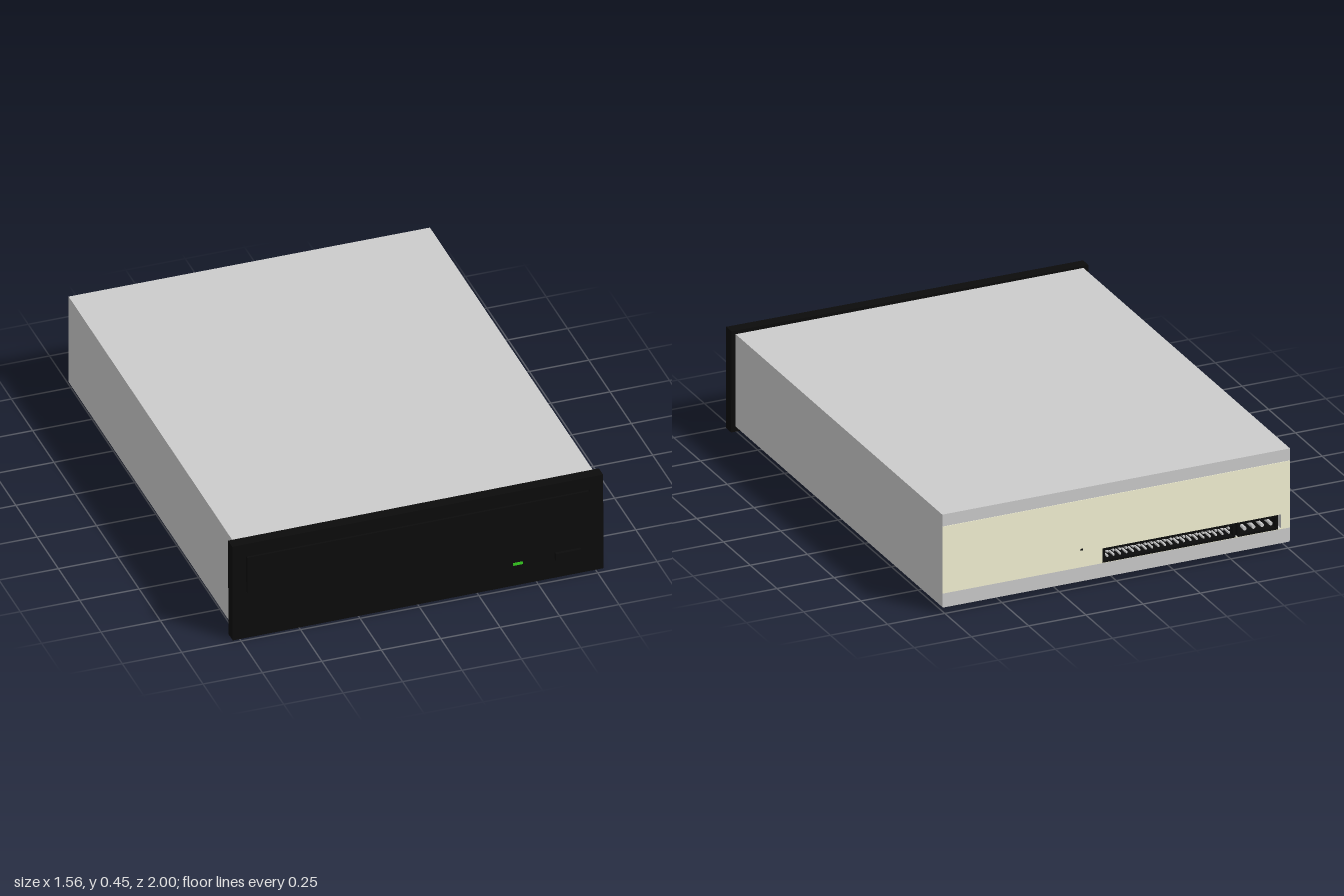
import * as THREE from 'three';

const mat = (color) => new THREE.MeshStandardMaterial({ color });

// Rectangle from corner limits, as a Shape or Path
function rect(Type, x0, x1, y0, y1) {
  const r = new Type();
  r.moveTo(x0, y0);
  r.lineTo(x1, y0);
  r.lineTo(x1, y1);
  r.lineTo(x0, y1);
  r.closePath();
  return r;
}

// Plate spanning the limits [x0, x1, y0, y1] and z0..z1, with rectangular openings
function plate(name, material, outer, z0, z1, holes = []) {
  const shape = rect(THREE.Shape, ...outer);
  for (const h of holes) shape.holes.push(rect(THREE.Path, ...h));
  const geometry = new THREE.ExtrudeGeometry(shape, { depth: z1 - z0, bevelEnabled: false });
  geometry.translate(0, 0, z0);
  const mesh = new THREE.Mesh(geometry, material);
  mesh.name = name;
  return mesh;
}

export function createModel() {
  const model = new THREE.Group();
  model.name = 'opticalDrive';
  const grey = mat(0xcccccc);
  const black = mat(0x0b0b0b);
  const cream = mat(0xf4f2d3);
  const green = mat(0x36d020);

  // Metal case, open at the rear for the connectors
  const window = [-0.72, 0.06, 0.092, 0.152];
  model.add(plate('case', grey, [-0.76, 0.76, 0.03, 0.43], -0.998, 0.937, [window]));
  model.add(plate('bottomPlate', grey, [-0.757, 0.757, 0.026, 0.03], -0.998, 0.937));
  model.add(plate('rearPanel', cream, [-0.76, 0.76, 0.088, 0.378], -1, -0.998, [window]));
  model.add(plate('jumperHole', black, [0.147, 0.157, 0.16, 0.168], -1.001, -1));

  // Black sockets set into the rear window
  const rear = new THREE.Group();
  rear.name = 'rearConnectors';
  rear.add(plate('socketBack', black, [-0.72, 0.06, 0.092, 0.152], -0.95, -0.93));
  rear.add(plate('dataSocket', black, [-0.52, 0.06, 0.09, 0.152], -1.001, -0.95,
    [[-0.51, 0.05, 0.1, 0.143]]));
  rear.add(plate('powerSocket', black, [-0.705, -0.53, 0.09, 0.152], -1.001, -0.95,
    [[-0.695, -0.54, 0.1, 0.143]]));

  // Two rows of data pins and four power pins
  const dataPin = new THREE.BoxGeometry(0.007, 0.007, 0.045);
  const dataPins = new THREE.Group();
  dataPins.name = 'dataPins';
  for (let i = 0; i < 20; i++) {
    for (const y of [0.112, 0.131]) {
      const pin = new THREE.Mesh(dataPin, grey);
      pin.name = 'dataPin';
      pin.position.set(-0.496 + i * 0.028, y, -0.972);
      dataPins.add(pin);
    }
  }
  rear.add(dataPins);
  const powerPin = new THREE.CylinderGeometry(0.008, 0.008, 0.053, 10).rotateX(Math.PI / 2);
  for (let i = 0; i < 4; i++) {
    const pin = new THREE.Mesh(powerPin, grey);
    pin.name = 'powerPin';
    pin.position.set(-0.675 + i * 0.038, 0.121, -0.9755);
    rear.add(pin);
  }
  model.add(rear);

  // Front bezel with a narrow gap around the tray door, sitting very slightly askew
  const front = new THREE.Group();
  front.name = 'front';
  front.add(plate('bezel', black, [-0.78, 0.78, 0.004, 0.442], 0.935, 0.985,
    [[-0.722, 0.722, 0.212, 0.384]]));
  front.add(plate('trayDoor', black, [-0.719, 0.719, 0.215, 0.381], 0.938, 0.992));
  front.add(plate('ejectButton', black, [0.575, 0.683, 0.09, 0.122], 0.98, 1));
  front.add(plate('activityLight', green, [0.4, 0.44, 0.098, 0.11], 0.98, 0.987));
  front.rotation.z = 0.0045;
  model.add(front);

  return model;
}
